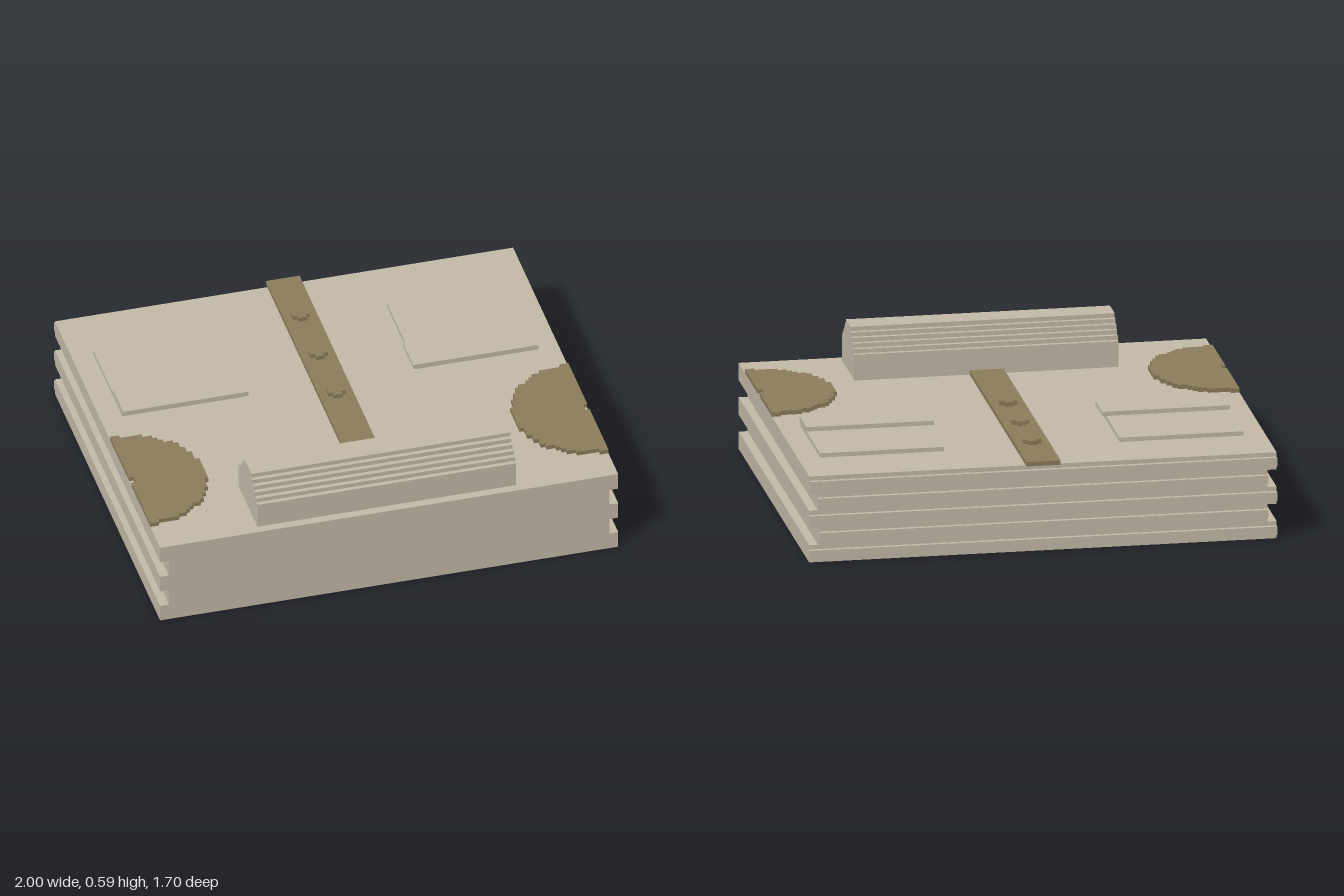
import * as THREE from 'three';

const U = 0.0189;       // grid step used for all stepped edges
const TOP = 20 * U;     // top of the folded stack

export function createModel() {
  const cloth = new THREE.MeshStandardMaterial({ color: 0xc4baa9 });
  cloth.name = 'paleCloth';
  const trim = new THREE.MeshStandardMaterial({ color: 0x8c7e5c });
  trim.name = 'oliveTrim';

  const model = new THREE.Group();
  model.name = 'foldedShirt';

  const add = (name, geometry, material) => {
    const mesh = new THREE.Mesh(geometry, material);
    mesh.name = name;
    model.add(mesh);
    return mesh;
  };
  // Box given by its min and max corners
  const box = (name, material, [x0, y0, z0], [x1, y1, z1]) =>
    add(name, new THREE.BoxGeometry(x1 - x0, y1 - y0, z1 - z0), material)
      .position.set((x0 + x1) / 2, (y0 + y1) / 2, (z0 + z1) / 2);
  const extrude = (points, depth) => new THREE.ExtrudeGeometry(
    new THREE.Shape(points.map(([x, y]) => new THREE.Vector2(x, y))),
    { depth, bevelEnabled: false });

  // Folded body: five layers, every second one set in at the sides
  const layerWidth = i => (i % 2 ? 0.962 : 1);
  const rightEdge = [];
  for (let i = 0; i < 5; i++) {
    rightEdge.push([layerWidth(i), i * 4 * U], [layerWidth(i), (i + 1) * 4 * U]);
  }
  const leftEdge = rightEdge.map(([x, y]) => [-x, y]).reverse();
  add('foldedBody', extrude([...rightEdge, ...leftEdge], 0.849 + 0.83), cloth).position.z = -0.83;

  // Raised fold along the back of each layer
  for (let i = 0; i < 5; i++) {
    const w = layerWidth(i);
    box('backFold', cloth, [-w, (4 * i + 1) * U, -0.849], [w, (4 * i + 3) * U, -0.83]);
  }

  // Collar: stepped ridge across the front
  const collarRight = [[8 * U, 0], [8 * U, 6 * U]];
  for (let i = 1; i <= 5; i++) {
    collarRight.push([(8 - i) * U, (5 + i) * U], [(8 - i) * U, (6 + i) * U]);
  }
  const collarLeft = collarRight.map(([z, y]) => [-z, y]).reverse();
  const collar = extrude([...collarRight, ...collarLeft], 1.13);
  collar.translate(0, 0, -0.565).rotateY(Math.PI / 2);
  add('collar', collar, cloth).position.set(0, TOP, 0.66);

  // Button strip and cross-shaped buttons
  box('buttonStrip', trim, [-0.073, TOP, -0.849], [0.073, TOP + U, 0.51]);
  const cross = [[2, 1], [1, 1], [1, 2], [-1, 2], [-1, 1], [-2, 1],
    [-2, -1], [-1, -1], [-1, -2], [1, -2], [1, -1], [2, -1]].map(([x, y]) => [x * U, y * U]);
  const button = extrude(cross, U).rotateX(-Math.PI / 2);
  for (const z of [-0.57, -0.285, 0]) add('button', button, trim).position.set(0, TOP + U, z);

  // Chest pockets with flaps
  for (const side of [1, -1]) {
    const span = (a, b) => (side > 0 ? [a, b] : [-b, -a]);
    const [p0, p1] = span(0.376, 0.906);
    const [f0, f1] = span(0.36, 0.906);
    box('pocket', cloth, [p0, TOP, -0.567], [p1, TOP + U, -0.1]);
    box('pocketFlap', cloth, [f0, TOP + U, -0.246], [f1, TOP + 2 * U, -0.08]);
    box('pocketFlapEdge', cloth, [f0, TOP + U * 0.9, -0.1], [f1, TOP + U, -0.08]);
  }

  // Armholes: stepped half discs with a small notch at the outer edge
  const reach = [17, 17, 17, 17, 16, 16, 16, 15, 15, 14, 14, 13, 11, 10, 9, 7, 2];
  const arc = [];
  reach.forEach((r, i) => arc.push([r * U, i * U], [r * U, (i + 1) * U]));
  const lower = arc.map(([x, y]) => [x, -y]).reverse();
  const outline = [...lower, ...arc.slice(1), [0, 17 * U], [0, U], [U, U], [U, -U], [0, -U], [0, -17 * U]];
  const armhole = extrude(outline, U).rotateX(-Math.PI / 2);
  for (const side of [1, -1]) {
    const mesh = add(side > 0 ? 'leftArmhole' : 'rightArmhole', armhole, trim);
    mesh.position.set(side, TOP, 0.373);
    mesh.rotation.y = side > 0 ? Math.PI : 0;
  }

  return model;
}
